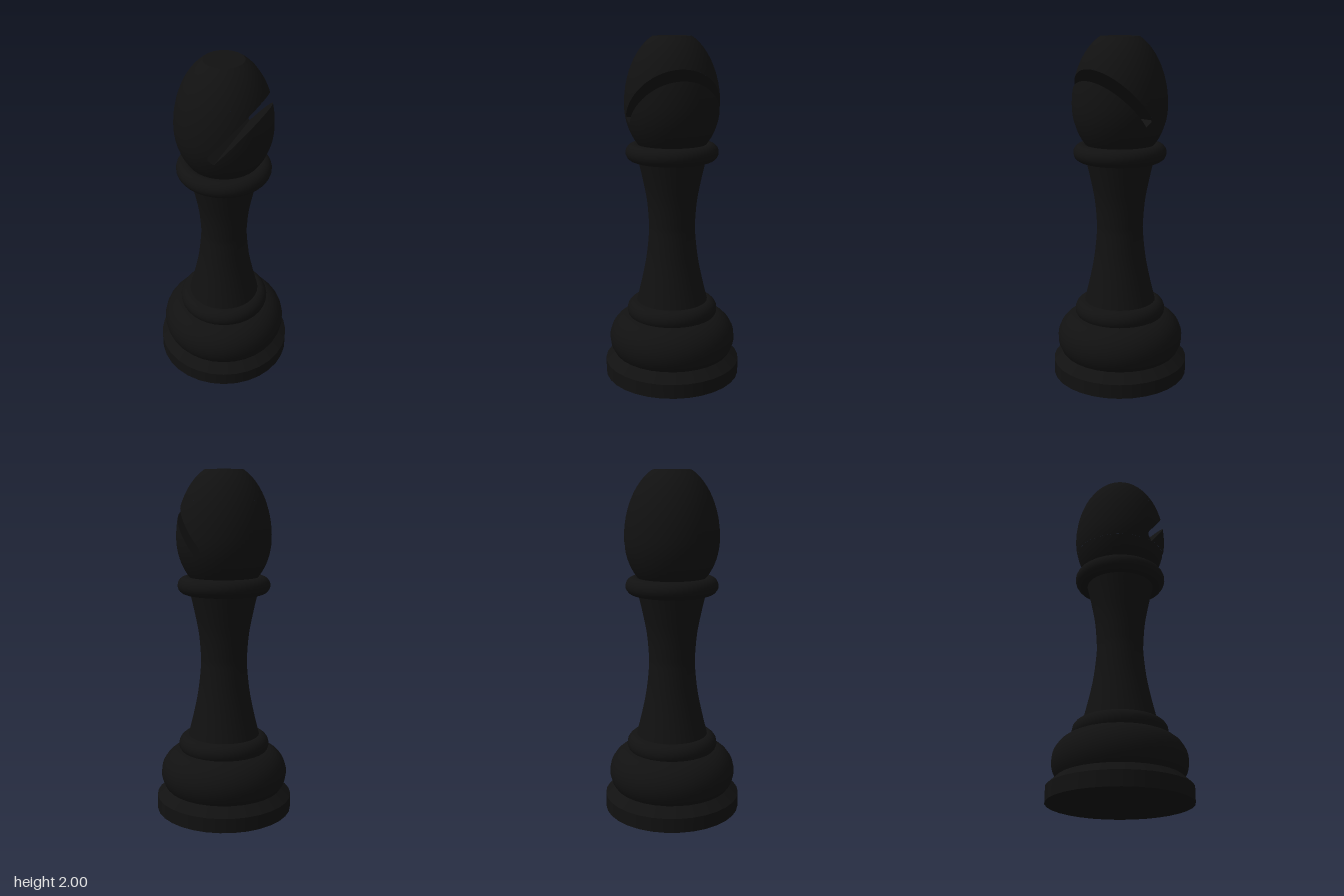
import * as THREE from 'three';
import { ParametricGeometry } from 'three/addons/geometries/ParametricGeometry.js';

const SIDES = 32;
const black = new THREE.MeshStandardMaterial({ color: 0x111111 });

// Head outline: radius at height y, two half ellipses meeting at the widest point
const headRadius = (y) => {
  const k = (y - 1.62) / (y > 1.62 ? 0.415 : 0.325);
  return 0.272 * Math.sqrt(Math.max(0, 1 - k * k));
};

// Slot outline in the xy plane: inner end corners, and where each wall leaves the head
const SLOT = { top: [0.008, 1.558], bottom: [0.05, 1.524], slope: 1.195 };
const upperWallX = (y) => (y < SLOT.top[1]
  ? THREE.MathUtils.mapLinear(y, SLOT.bottom[1], SLOT.top[1], SLOT.bottom[0], SLOT.top[0])
  : SLOT.top[0] + (y - SLOT.top[1]) / SLOT.slope);
const lowerWallX = (y) => SLOT.bottom[0] + (y - SLOT.bottom[1]) / SLOT.slope;

// Height at which a slot wall meets the head surface
function exitHeight(wallX) {
  let lo = 1.6, hi = 1.95;
  for (let i = 0; i < 40; i++) {
    const mid = (lo + hi) / 2;
    if (wallX(mid) < headRadius(mid)) lo = mid; else hi = mid;
  }
  return lo;
}

export function createModel() {
  const model = new THREE.Group();
  const head = new THREE.Group();
  head.name = 'head';

  const add = (parent, name, geometry) => {
    const mesh = new THREE.Mesh(geometry, black);
    mesh.name = name;
    parent.add(mesh);
  };
  const lathe = (parent, name, points) =>
    add(parent, name, new THREE.LatheGeometry(points.map(([r, y]) => new THREE.Vector2(r, y)), SIDES));
  const arc = (r, y, radius, from, to, steps) => Array.from({ length: steps + 1 }, (_, i) => {
    const t = THREE.MathUtils.degToRad(from + ((to - from) * i) / steps);
    return [r + radius * Math.cos(t), y + radius * Math.sin(t)];
  });

  // Foot with a bevelled top edge
  lathe(model, 'footUnderside', [[0, 0], [0.402, 0]]);
  lathe(model, 'footRim', [[0.402, 0], [0.402, 0.085]]);
  lathe(model, 'footBevel', [[0.402, 0.085], [0.345, 0.137]]);

  // Rounded mouldings
  lathe(model, 'baseBulge', arc(0.225, 0.225, 0.15, -37, 85, 16));
  lathe(model, 'baseRing', arc(0.21, 0.4, 0.058, -35, 95, 10));
  lathe(model, 'collar', arc(0.217, 1.35, 0.051, -120, 120, 16));

  // Waisted stem
  const stem = new THREE.SplineCurve([
    [0.212, 0.45], [0.18, 0.58], [0.152, 0.72], [0.136, 0.87],
    [0.136, 0.94], [0.147, 1.07], [0.172, 1.2], [0.197, 1.31],
  ].map(([r, y]) => new THREE.Vector2(r, y)));
  lathe(model, 'stem', stem.getPoints(24).map((p) => [p.x, p.y]));

  // Whole rings of the head, below and above the slot
  const headRows = (y0, y1, n) => Array.from({ length: n + 1 }, (_, i) => {
    const y = y0 + ((y1 - y0) * i) / n;
    return [headRadius(y), y];
  });
  const yStart = SLOT.bottom[1];
  const yUpper = exitHeight(upperWallX);
  const yLower = exitHeight(lowerWallX);
  lathe(head, 'headLower', headRows(1.385, yStart, 8));
  lathe(head, 'headUpper', headRows(yUpper, 2, 12));
  lathe(head, 'headTop', [[headRadius(2), 2], [0, 2]]);

  // Slotted zone: outer skin on either side of a wall, rows closer near the exit
  const skin = (name, wallX, yEnd, outside) => {
    const geometry = new ParametricGeometry((u, v, target) => {
      const y = yStart + (yEnd - yStart) * (1 - (1 - v) ** 2) * 0.9999;
      const r = headRadius(y);
      const t = Math.acos(THREE.MathUtils.clamp(wallX(y) / r, -1, 1));
      const a = outside ? -t + 2 * t * u : t + (2 * Math.PI - 2 * t) * u;
      target.set(r * Math.cos(a), y, -r * Math.sin(a));
    }, SIDES, 24);
    add(head, name, geometry);
  };
  skin('headSkin', upperWallX, yUpper, false);
  skin('lipSkin', lowerWallX, yLower, true);

  // Flat slot walls spanning the head from front to back
  const wall = (name, wallX, y0, y1, facing) => {
    const geometry = new ParametricGeometry((u, v, target) => {
      const y = y0 + (y1 - y0) * (1 - (1 - v) ** 2) * 0.9999;
      const x = wallX(y);
      const half = Math.sqrt(Math.max(0, headRadius(y) ** 2 - x * x));
      target.set(x, y, facing * half * (1 - 2 * u));
    }, 4, 24);
    add(head, name, geometry);
  };
  wall('slotEnd', upperWallX, yStart, SLOT.top[1], 1);
  wall('slotUpperWall', upperWallX, SLOT.top[1], yUpper, 1);
  wall('slotLowerWall', lowerWallX, yStart, yLower, -1);

  model.add(head);
  return model;
}
